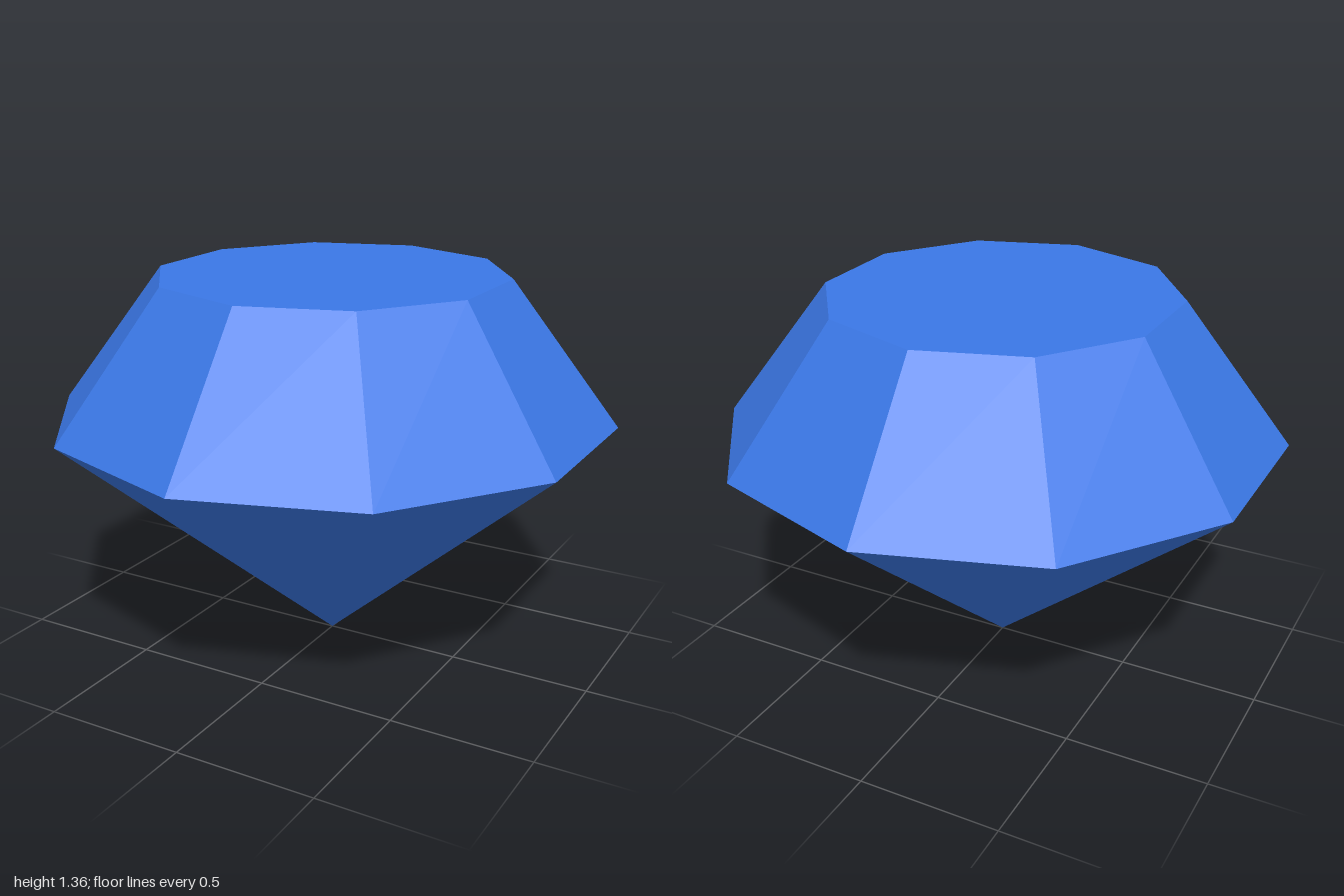
import * as THREE from 'three';

const SIDES = 10;
const GIRDLE_RADIUS = 1;
const TABLE_RADIUS = 0.62;
const GIRDLE_Y = 0.855;
const TOP_Y = 1.355;

export function createModel() {
  const model = new THREE.Group();
  model.name = 'gem';

  const gemBlue = new THREE.MeshStandardMaterial({ color: 0x3b78e7 });
  gemBlue.name = 'gemBlue';

  // Faceted open ring between two heights, with one flat normal per facet
  function addFacets(name, topRadius, bottomRadius, bottomY, topY) {
    const geometry = new THREE.CylinderGeometry(topRadius, bottomRadius, topY - bottomY, SIDES, 1, true).toNonIndexed();
    geometry.translate(0, (bottomY + topY) / 2, 0);
    geometry.computeVertexNormals();
    const mesh = new THREE.Mesh(geometry, gemBlue);
    mesh.name = name;
    model.add(mesh);
  }

  // Pointed lower half and sloping upper half
  addFacets('pavilion', GIRDLE_RADIUS, 0, 0, GIRDLE_Y);
  addFacets('crown', TABLE_RADIUS, GIRDLE_RADIUS, GIRDLE_Y, TOP_Y);

  // Flat top, with a corner towards the front
  const tableGeometry = new THREE.CircleGeometry(TABLE_RADIUS, SIDES, Math.PI / 2);
  tableGeometry.rotateX(-Math.PI / 2);
  const table = new THREE.Mesh(tableGeometry, gemBlue);
  table.name = 'table';
  table.position.y = TOP_Y;
  model.add(table);

  return model;
}
